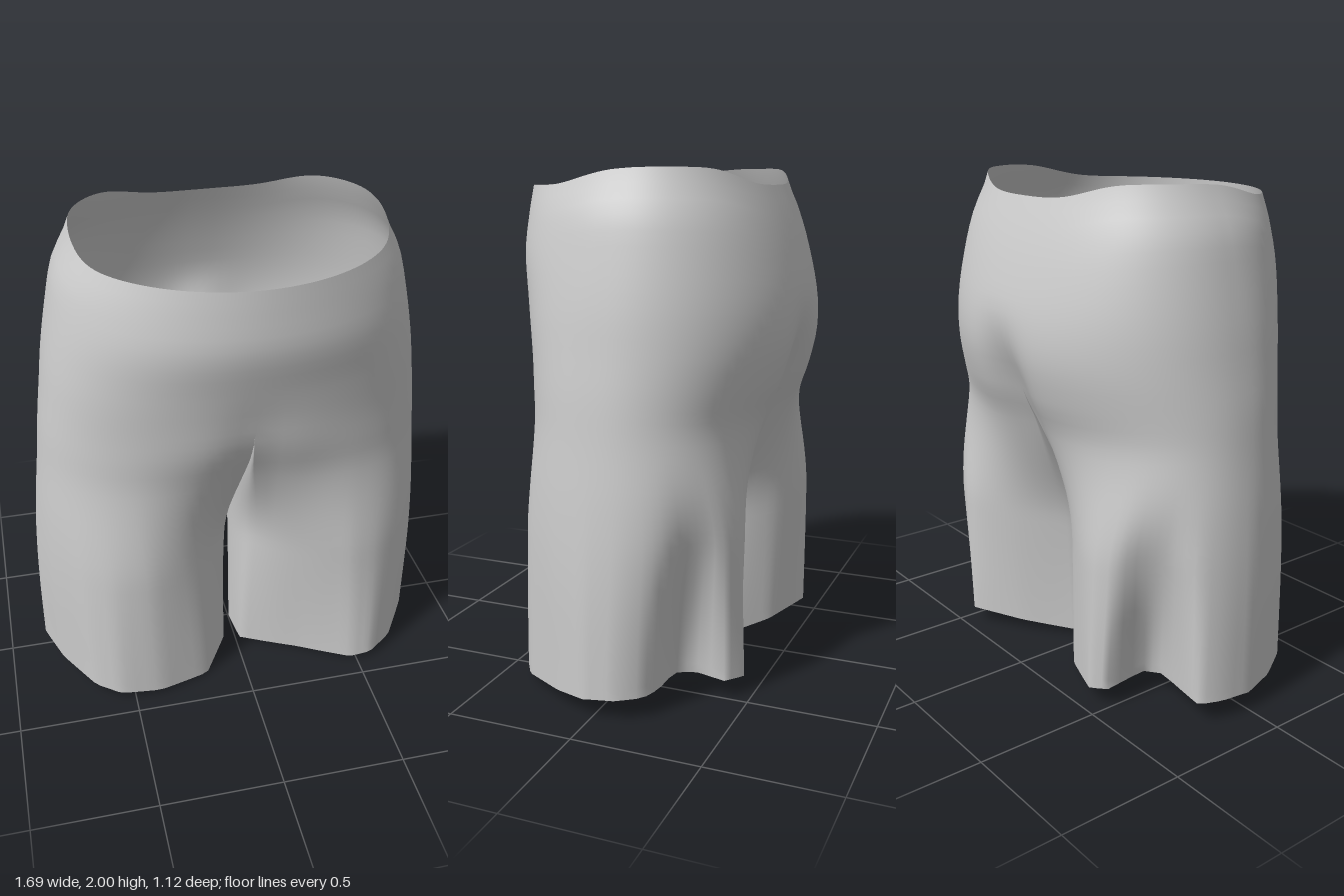
import * as THREE from 'three';
import { mergeVertices } from 'three/addons/utils/BufferGeometryUtils.js';

const { lerp, smoothstep, clamp } = THREE.MathUtils;
const OUTER = 60, INNER = 16, BODY_ROWS = 14, LEG_ROWS = 28;
const PHI0 = 0.6;       // half angle of the inner leg strip

// Silhouette: height, half width, front z, back z
const PROFILE = [
  [0, 0.845, 0.42, -0.468], [0.4, 0.84, 0.42, -0.46], [0.8, 0.815, 0.425, -0.46],
  [1.05, 0.79, 0.44, -0.48], [1.2, 0.775, 0.465, -0.53], [1.35, 0.755, 0.485, -0.565],
  [1.5, 0.735, 0.515, -0.56], [1.69, 0.7, 0.56, -0.515], [1.84, 0.665, 0.557, -0.465],
  [1.94, 0.615, 0.55, -0.425], [2, 0.59, 0.545, -0.41],
];

// Hem outlines with the deep fold at the outer back: degrees, distance from
// the centre line, z. 0 is the inside, 90 the front, 180 the outside.
const LEFT_HEM = [
  [0, 0.002, 0.02], [30, 0.02, 0.16], [60, 0.26, 0.28], [90, 0.47, 0.41], [110, 0.56, 0.415],
  [130, 0.67, 0.345], [155, 0.79, 0.16], [175, 0.845, 0.03], [195, 0.83, -0.09],
  [207, 0.77, -0.18], [217, 0.68, -0.205], [227, 0.52, -0.2], [237, 0.475, -0.27],
  [248, 0.51, -0.41], [262, 0.43, -0.465], [300, 0.24, -0.33], [335, 0.04, -0.16], [360, 0.002, 0.02],
];
const RIGHT_HEM = [
  [0, 0.04, -0.02], [30, 0.05, 0.14], [60, 0.17, 0.35], [90, 0.39, 0.42], [110, 0.56, 0.415],
  [130, 0.66, 0.355], [155, 0.78, 0.17], [175, 0.845, 0], [192, 0.835, -0.13],
  [203, 0.8, -0.225], [211, 0.745, -0.215], [223, 0.53, -0.175], [234, 0.465, -0.22],
  [248, 0.49, -0.42], [262, 0.43, -0.465], [300, 0.2, -0.37], [330, 0.05, -0.25], [360, 0.04, -0.02],
];
const SIDES = [{ sign: 1, hem: LEFT_HEM }, { sign: -1, hem: RIGHT_HEM }];

// Smooth (Hermite) reading of the silhouette at height y
function profile(y) {
  let i = 0;
  while (i < PROFILE.length - 2 && y > PROFILE[i + 1][0]) i++;
  const at = k => PROFILE[clamp(k, 0, PROFILE.length - 1)];
  const a = at(i), b = at(i + 1), h = b[0] - a[0];
  const t = clamp((y - a[0]) / h, 0, 1), u = 1 - t;
  const slope = (k, c) => (at(k + 1)[c] - at(k - 1)[c]) / (at(k + 1)[0] - at(k - 1)[0]);
  return [1, 2, 3].map(c =>
    u * u * (1 + 2 * t) * a[c] + t * t * (3 - 2 * t) * b[c]
    + h * t * u * (u * slope(i, c) - t * slope(i + 1, c)));
}

function hemPoint(phi, hem) {
  const deg = (THREE.MathUtils.radToDeg(phi) + 360) % 360;
  let i = 0;
  while (i < hem.length - 2 && deg > hem[i + 1][0]) i++;
  const a = hem[i], b = hem[i + 1], t = (deg - a[0]) / (b[0] - a[0]);
  return [lerp(a[1], b[1], t), lerp(a[2], b[2], t)];
}

const power = (v, n) => Math.sign(v) * Math.pow(Math.abs(v), 2 / n);
const waistY = a => 1.935 + 0.065 * Math.exp(-(((a - 2) / 0.72) ** 4));
const hemY = phi => 0.045 - 0.035 * Math.cos(phi) - 0.025 * Math.sin(phi);
// Height where the trunk divides into legs, higher in front
const joinY = a => 1.26 + 0.06 * Math.cos(a);

// Half of the trunk section: a runs from centre front (0) to centre back (PI)
function bodyPoint(a, y) {
  const [w, zf, zb] = profile(y);
  const c = Math.cos(a), up = smoothstep(y, 1.3, 1.9);
  const n = c > 0 ? lerp(2.3, 1.95, up) : lerp(2.15, 2.4, up);
  const x = w * power(Math.sin(a), n);
  const crease = (1 - smoothstep(y, 1.15, 1.55)) * (c < 0 ? 0.14 : 0.05);
  const z = (c > 0 ? zf : -zb) * power(c, n) * (1 - crease * Math.exp(-((x / 0.12) ** 2)));
  return [x, z];
}

// Closed leg section, turning into the folded outline towards the hem
function legPoint(phi, y, side) {
  const [w, zf, zb] = profile(y);
  const c = Math.cos(phi), s = Math.sin(phi);
  const n = c > 0 ? 1.75 : (s > 0 ? 1.95 : 2.1);
  const r = w / 2 - 0.003;
  const x = w - r - r * power(c, n);
  const z = (zf + zb) / 2 + (zf - zb) / 2 * power(s, n);
  const [hx, hz] = hemPoint(phi, side.hem);
  const k = smoothstep(y, -0.1, 1.05);
  return [lerp(hx, x, k), lerp(hz, z, k)];
}

function trunkVertex(row, col) {
  const a = Math.PI * col / OUTER;
  const y = lerp(waistY(a), joinY(a), row / BODY_ROWS);
  const [x, z] = bodyPoint(a, y);
  return [x, y, z];
}

function legVertex(row, col, side) {
  const v = row / LEG_ROWS;
  const c = col % (OUTER + INNER);
  const s = smoothstep(v, 0, 0.55);
  if (c <= OUTER) {
    const t = c / OUTER, phi = lerp(PHI0, 2 * Math.PI - PHI0, t);
    const y = lerp(joinY(Math.PI * t), hemY(phi), v);
    const b = bodyPoint(Math.PI * t, y), l = legPoint(phi, y, side);
    return [lerp(b[0], l[0], s), y, lerp(b[1], l[1], s)];
  }
  // inner strip hangs from the U-shaped crotch seam
  const t = (c - OUTER) / INNER, a = Math.PI * (1 - t), phi = lerp(-PHI0, PHI0, t);
  const y = lerp(joinY(a) - 0.14 * Math.sin(a), hemY(phi), v);
  const front = bodyPoint(0, lerp(joinY(0), hemY(PHI0), v))[1];
  const back = bodyPoint(Math.PI, lerp(joinY(Math.PI), hemY(-PHI0), v))[1];
  const seamZ = (front + back) / 2 + (front - back) / 2 * Math.cos(a);
  const l = legPoint(phi, y, side);
  return [l[0] * s, y, lerp(seamZ, l[1], s)];
}

// Adds a grid of quads on one side of the model
function addGrid(out, fn, rows, cols, side) {
  const p = (r, c) => {
    const [x, y, z] = fn(r, c, side);
    return [x * side.sign, y, z];
  };
  for (let r = 0; r < rows; r++) {
    for (let c = 0; c < cols; c++) {
      const q = [p(r, c), p(r + 1, c), p(r + 1, c + 1), p(r, c + 1)];
      if (side.sign < 0) q.reverse();
      for (const i of [0, 1, 2, 0, 2, 3]) out.push(...q[i]);
    }
  }
}

export function createModel() {
  const positions = [];
  for (const side of SIDES) {
    addGrid(positions, trunkVertex, BODY_ROWS, OUTER, side);
    addGrid(positions, legVertex, LEG_ROWS, OUTER + INNER, side);
  }
  let geometry = new THREE.BufferGeometry();
  geometry.setAttribute('position', new THREE.Float32BufferAttribute(positions, 3));
  geometry = mergeVertices(geometry, 1e-4);
  geometry.computeVertexNormals();

  const cloth = new THREE.MeshStandardMaterial({ color: 0xcccccc, side: THREE.DoubleSide });
  const shorts = new THREE.Mesh(geometry, cloth);
  shorts.name = 'shorts';
  const group = new THREE.Group();
  group.name = 'shortTrousers';
  group.add(shorts);
  return group;
}
